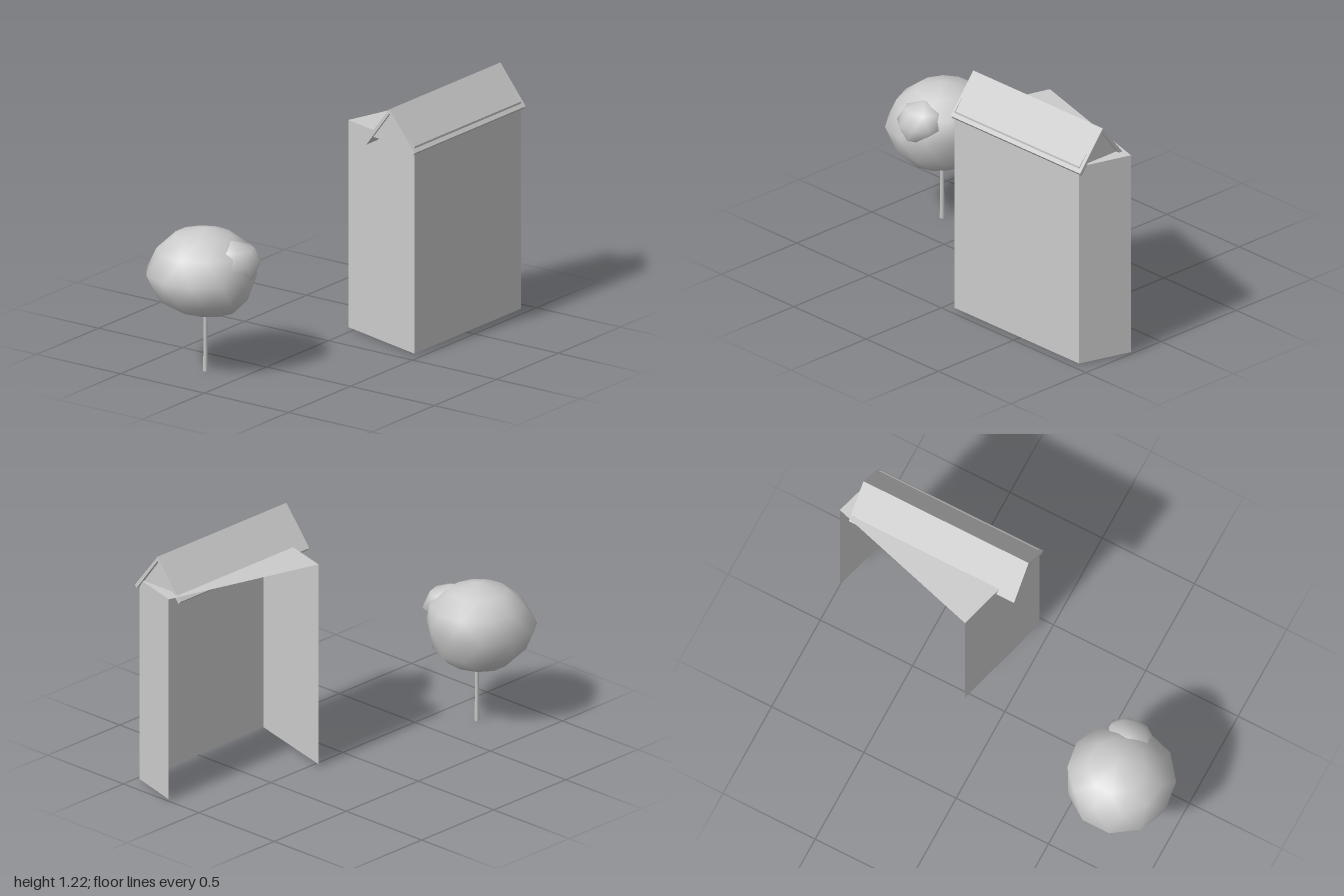
import * as THREE from 'three';

const material = new THREE.MeshStandardMaterial({ color: 0xcccccc, side: THREE.DoubleSide });
const flat = new THREE.MeshStandardMaterial({ color: 0xcccccc, side: THREE.DoubleSide, flatShading: true });

function add(parent, name, geometry, mat = flat) {
  const mesh = new THREE.Mesh(geometry, mat);
  mesh.name = name;
  parent.add(mesh);
  return mesh;
}

// Flat convex panel, fanned from its first corner
function panel(...corners) {
  const points = [];
  for (let i = 1; i < corners.length - 1; i++) points.push(...corners[0], ...corners[i], ...corners[i + 1]);
  const g = new THREE.BufferGeometry();
  g.setAttribute('position', new THREE.Float32BufferAttribute(points, 3));
  g.computeVertexNormals();
  return g;
}

// Smooth lump from elliptical rings [y, cx, cz, rx, rz], closed by a point at each end
function lump(rings, bottom, top, sides) {
  const points = [...bottom];
  const index = [];
  rings.forEach(([y, cx, cz, rx, rz], r) => {
    for (let i = 0; i < sides; i++) {
      const a = ((i + (r % 2) * 0.5) / sides) * Math.PI * 2;
      points.push(cx + rx * Math.sin(a), y, cz + rz * Math.cos(a));
    }
  });
  points.push(...top);
  const last = points.length / 3 - 1;
  const at = (r, i) => 1 + r * sides + ((i + sides) % sides);
  for (let i = 0; i < sides; i++) {
    index.push(0, at(0, i + 1), at(0, i));
    for (let r = 0; r < rings.length - 1; r++) {
      // Odd rings are turned by half a step, so the diagonal alternates
      const a = at(r, i), b = at(r, i + 1), c = at(r + 1, i), d = at(r + 1, i + 1);
      if (r % 2 === 0) index.push(a, b, c, b, d, c);
      else index.push(a, b, d, a, d, c);
    }
    index.push(at(rings.length - 1, i), at(rings.length - 1, i + 1), last);
  }
  const g = new THREE.BufferGeometry();
  g.setAttribute('position', new THREE.Float32BufferAttribute(points, 3));
  g.setIndex(index);
  g.computeVertexNormals();
  return g;
}

function createHouse() {
  const house = new THREE.Group();
  house.name = 'house';
  const base = 0.01, top = 1.055;

  // Three walls on a skewed plan, open at the back
  const plan = [[0.2, -0.03], [0.06, 0.468], [0.92, 0.468], [1.0, 0.2]];
  ['rightWall', 'frontWall', 'leftWall'].forEach((name, i) => {
    const [x0, z0] = plan[i], [x1, z1] = plan[i + 1];
    add(house, name, panel([x0, base, z0], [x1, base, z1], [x1, top, z1], [x0, top, z0]));
  });

  // Flat deck behind the gable roof and beside it
  add(house, 'rearDeck', panel([0.135, top, 0.2], [1.0, top, 0.2], [0.2, top, -0.03]));
  add(house, 'sideDeck', panel([0.92, top, 0.468], [1.0, top, 0.2], [0.92, top, 0.2]));

  // Gable ends
  const ridgeZ = 0.33, ridgeY = 1.22;
  for (const [name, x] of [['rightGable', 0.06], ['leftGable', 0.92]]) {
    add(house, name, panel([x, top, 0.465], [x, top, 0.198], [x, ridgeY - 0.01, ridgeZ]));
  }

  // Two thin roof slabs meeting at the ridge
  for (const [name, s] of [['frontRoof', 1], ['rearRoof', -1]]) {
    const section = new THREE.Shape([
      new THREE.Vector2(0, ridgeY),
      new THREE.Vector2(s * 0.151, 1.028),
      new THREE.Vector2(s * 0.139, 1.014),
      new THREE.Vector2(0, ridgeY - 0.022),
    ]);
    const g = new THREE.ExtrudeGeometry(section, { depth: 0.895, bevelEnabled: false });
    g.rotateY(-Math.PI / 2).translate(0.94, 0, ridgeZ);
    add(house, name, g);
  }
  return house;
}

function createTree() {
  const tree = new THREE.Group();
  tree.name = 'tree';

  // Slim trunk
  const trunk = add(tree, 'trunk', new THREE.CylinderGeometry(0.009, 0.012, 0.305, 6), material);
  trunk.position.set(-0.722, 0.1525, -0.2);

  // Main crown
  add(tree, 'crown', lump([
    [0.318, -0.72, -0.2, 0.14, 0.16],
    [0.385, -0.74, -0.2, 0.23, 0.225],
    [0.5, -0.745, -0.21, 0.257, 0.278],
    [0.615, -0.715, -0.21, 0.235, 0.228],
    [0.685, -0.72, -0.215, 0.14, 0.14],
  ], [-0.72, 0.316, -0.2], [-0.72, 0.725, -0.2], 11), material);

  // Small lump of leaves on the front of the crown
  add(tree, 'crownBump', lump([
    [0.5, -0.7, -0.015, 0.07, 0.07],
    [0.57, -0.69, -0.03, 0.132, 0.105],
    [0.64, -0.69, -0.045, 0.1, 0.085],
  ], [-0.7, 0.435, 0.01], [-0.7, 0.677, -0.06], 9), material);
  return tree;
}

export function createModel() {
  const model = new THREE.Group();
  model.name = 'houseAndTree';
  model.add(createHouse(), createTree());
  return model;
}
